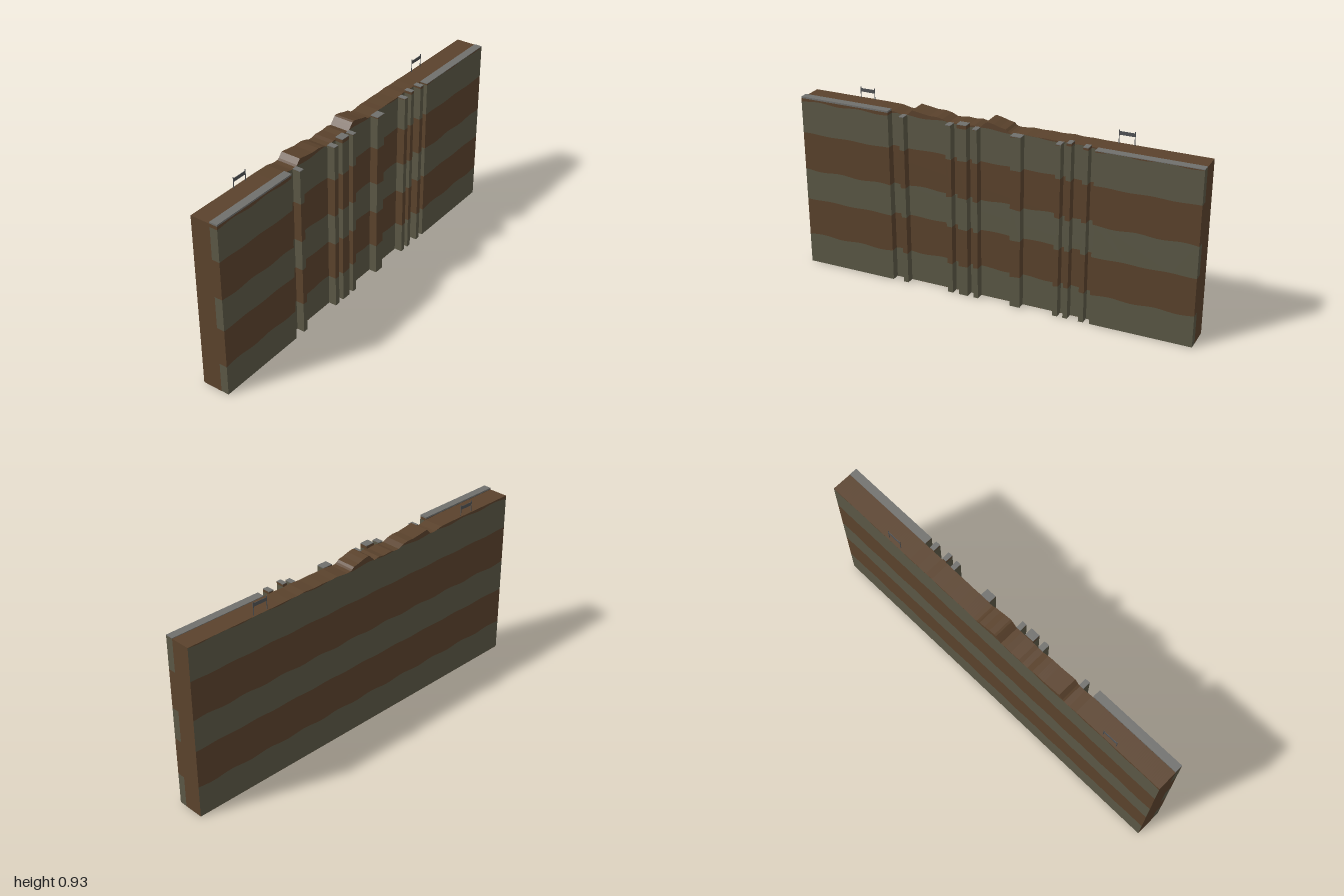
import * as THREE from 'three';

const mat = (name, color) => {
  const m = new THREE.MeshStandardMaterial({ color });
  m.name = name;
  return m;
};

// Wavy boundaries between the soil layers, bottom to top
const EDGES = [0.157, 0.35, 0.508, 0.7, 0.864];
const wave = (i, z) => EDGES[i] + (i % 2 ? 0.002 : 0.004) * Math.sin(z * 29 + i * 1.7);

// Ground profile as [z, height]
const PROFILE = [
  [-1, 0.866], [-0.5, 0.866], [-0.45, 0.868], [-0.4, 0.866], [-0.36, 0.87], [-0.3, 0.866], [-0.25, 0.868],
  [-0.2, 0.866], [-0.16, 0.868], [-0.1, 0.861], [-0.075, 0.864], [-0.06, 0.878], [-0.03, 0.884],
  [0, 0.893], [0.035, 0.9], [0.05, 0.885], [0.07, 0.863], [0.1, 0.87], [0.13, 0.865], [0.18, 0.868],
  [0.2, 0.863], [0.23, 0.862], [0.26, 0.875], [0.29, 0.881], [0.33, 0.88], [0.38, 0.887], [0.42, 0.893],
  [0.445, 0.865], [0.475, 0.864], [0.52, 0.874], [0.6, 0.876], [1, 0.876],
];
function ground(z) {
  for (let i = 1; i < PROFILE.length; i++) {
    const [z0, h0] = PROFILE[i - 1], [z1, h1] = PROFILE[i];
    if (z <= z1) return h0 + ((h1 - h0) * (z - z0)) / (z1 - z0);
  }
  return PROFILE[PROFILE.length - 1][1];
}

// One layer: an outline in z and y, extruded across x
function layer(i, z0, z1, x0, x1, top, samples) {
  const n = Math.max(2, samples);
  const lower = [], upper = [];
  for (let k = 0; k <= n; k++) {
    const z = z0 + ((z1 - z0) * k) / n;
    const t = top(z);
    lower.push(new THREE.Vector2(z, i === 0 ? 0.001 : Math.min(wave(i - 1, z), t - 0.0006)));
    upper.push(new THREE.Vector2(z, i === EDGES.length ? t : Math.min(wave(i, z), t - 0.0006)));
  }
  const geo = new THREE.ExtrudeGeometry(new THREE.Shape([...lower, ...upper.reverse()]), {
    depth: x1 - x0, bevelEnabled: false,
  });
  return geo.rotateY(-Math.PI / 2).translate(x1, 0, 0);
}

export function createModel() {
  const model = new THREE.Group();
  const brown = mat('brown earth', 0x5a422c);
  const olive = mat('olive clay', 0x5a5745);
  const gray = mat('gray stone', 0x70706d);
  const dark = mat('dark metal', 0x505254);
  const layerMat = (i) => (i % 2 ? brown : olive);

  const add = (parent, name, geo, material) => {
    const m = new THREE.Mesh(geo, material);
    m.name = name;
    parent.add(m);
    return m;
  };
  const box = (parent, name, material, x0, x1, y0, y1, z0, z1) =>
    add(parent, name, new THREE.BoxGeometry(x1 - x0, y1 - y0, z1 - z0), material)
      .position.set((x0 + x1) / 2, (y0 + y1) / 2, (z0 + z1) / 2);

  // Main ground block: layered long faces, plain earth on top and ends
  const block = new THREE.Group();
  block.name = 'groundBlock';
  for (let i = 0; i <= EDGES.length; i++) {
    add(block, 'groundLayer' + i, layer(i, -1, 1, -0.07, 0.03, ground, 200), [layerMat(i), brown]);
  }
  // Striped underside
  for (let k = 0; k < 20; k++) {
    const z = -1 + k * 0.1;
    box(block, 'undersideStripe', olive, -0.07, 0.03, 0, 0.001, z, z + 0.05);
    box(block, 'undersideStripe', brown, -0.07, 0.03, 0, 0.001, z + 0.05, z + 0.1);
  }
  model.add(block);

  // Layered slabs and pillars along the left face: [z start, z end, height]
  const slabs = [
    [-1, -0.505, 0.869], [-0.475, -0.45, 0.876], [-0.395, -0.372, 0.882], [-0.345, -0.32, 0.868],
    [-0.152, -0.1, 0.869], [0.066, 0.09, 0.869], [0.12, 0.168, 0.881], [0.2, 0.227, 0.868],
    [0.445, 0.47, 0.868], [0.527, 1, 0.885],
  ];
  for (const [z0, z1, h] of slabs) {
    const slab = new THREE.Group();
    slab.name = 'slab';
    const cap = h > 0.88 && z1 === 1 ? 0.008 : 0.003;
    for (let i = 0; i <= EDGES.length; i++) {
      const geo = layer(i, z0, z1, 0.03, 0.07, () => h - cap, Math.ceil((z1 - z0) * 100));
      add(slab, 'slabLayer' + i, geo, layerMat(i));
    }
    box(slab, 'slabCap', gray, 0.03, 0.07, h - cap, h, z0, z1);
    model.add(slab);
  }

  // Two signs on thin posts
  for (const [z0, z1] of [[0.67, 0.745], [-0.642, -0.568]]) {
    const sign = new THREE.Group();
    sign.name = 'sign';
    for (const z of [z0, z1]) {
      box(sign, 'signPost', dark, -0.0625, -0.0595, 0.86, 0.931, z - 0.0015, z + 0.0015);
    }
    box(sign, 'signPanel', dark, -0.062, -0.06, 0.907, 0.924, z0, z1);
    model.add(sign);
  }
  return model;
}
